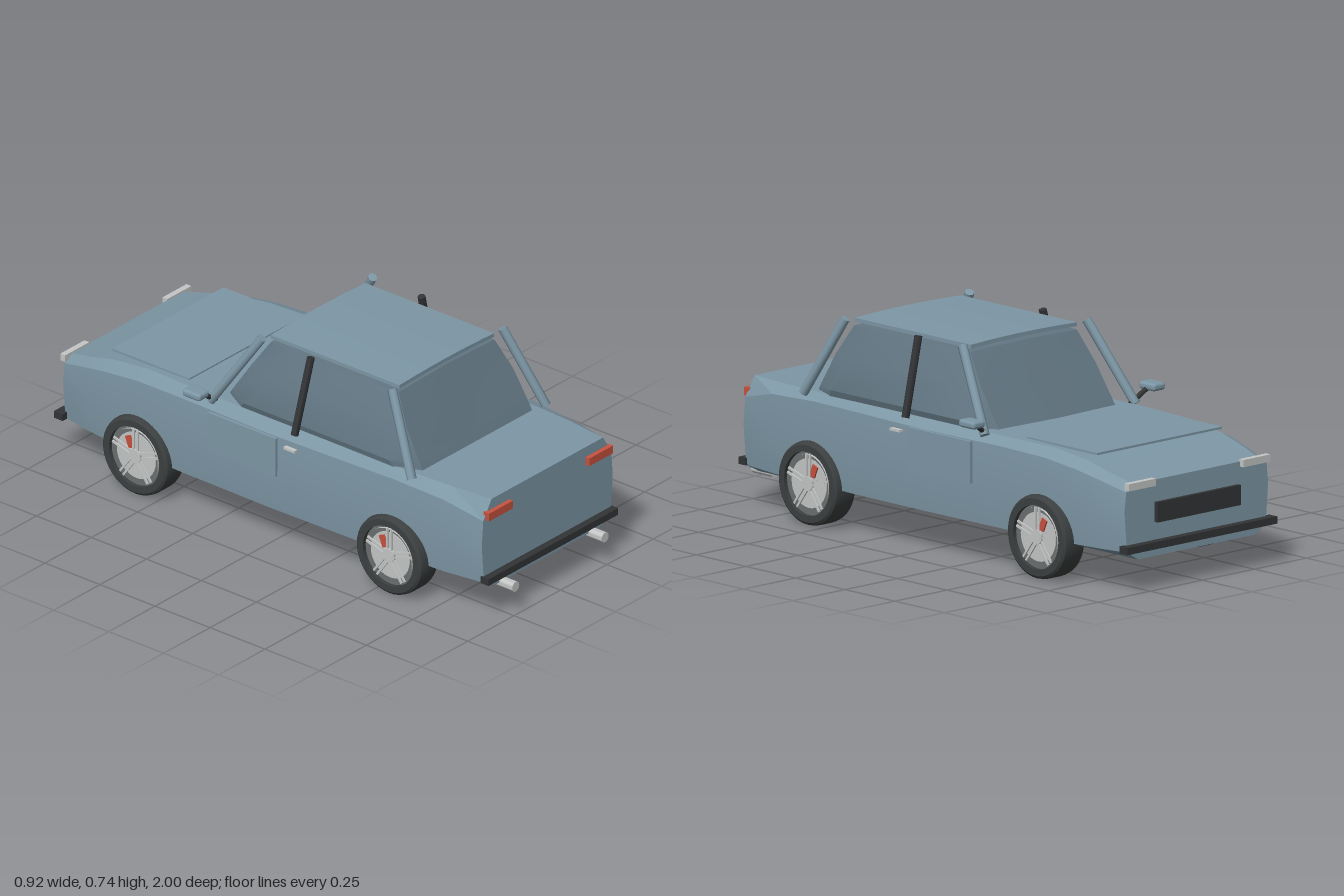
import * as THREE from 'three';
import { toCreasedNormals } from 'three/addons/utils/BufferGeometryUtils.js';
import { RoundedBoxGeometry } from 'three/addons/geometries/RoundedBoxGeometry.js';

const mat = (name, color, side = THREE.FrontSide) => {
  const m = new THREE.MeshStandardMaterial({ color, side });
  m.name = name;
  return m;
};

// Skin closed rings of points and cap both ends
function loft(rings, crease) {
  const n = rings[0].length, idx = [], last = (rings.length - 1) * n;
  for (let i = 0; i < rings.length - 1; i++) {
    for (let j = 0; j < n; j++) {
      const k = (j + 1) % n, a = i * n + j, b = i * n + k;
      idx.push(a, b, b + n, a, b + n, a + n);
    }
  }
  for (let j = 1; j < n - 1; j++) {
    idx.push(0, j + 1, j, last, last + j, last + j + 1);
  }
  const g = new THREE.BufferGeometry();
  g.setAttribute('position', new THREE.Float32BufferAttribute(rings.flat(2), 3));
  g.setIndex(idx);
  return toCreasedNormals(g, crease);
}

export function createModel() {
  const paint = mat('body paint', 0x7d97a5);
  const glass = mat('tinted glass', 0x627682);
  const black = mat('black trim', 0x323436);
  const rubber = mat('tyre rubber', 0x3c4040);
  const metal = mat('light metal', 0xc4c6c6);
  const dark = mat('rim shadow', 0x6b6f70);
  const red = mat('red lamp', 0xc8523f);

  const car = new THREE.Group();
  car.name = 'car';

  const add = (name, geo, material, x = 0, y = 0, z = 0, parent = car) => {
    const m = new THREE.Mesh(geo, material);
    m.name = name;
    m.position.set(x, y, z);
    parent.add(m);
    return m;
  };
  const box = (name, w, h, d, material, x, y, z) =>
    add(name, new THREE.BoxGeometry(w, h, d), material, x, y, z);
  const rod = (name, a, b, r, material, sides = 8) => {
    const p = new THREE.Vector3(...a), q = new THREE.Vector3(...b);
    const dir = q.clone().sub(p);
    const geo = toCreasedNormals(new THREE.CylinderGeometry(r, r, dir.length(), sides), 0.9);
    const m = add(name, geo, material);
    m.position.copy(p.add(q).multiplyScalar(0.5));
    m.quaternion.setFromUnitVectors(new THREE.Vector3(0, 1, 0), dir.normalize());
    return m;
  };

  // Body: cross-sections from nose to tail [z, half width, top y, top half width, shoulder y]
  const stations = [
    [-0.97, 0.345, 0.385, 0.3, 0.36], [-0.86, 0.367, 0.412, 0.315, 0.39],
    [-0.76, 0.38, 0.438, 0.32, 0.412], [-0.6, 0.389, 0.458, 0.325, 0.432],
    [-0.4, 0.397, 0.46, 0.335, 0.438], [0, 0.402, 0.46, 0.34, 0.436],
    [0.35, 0.397, 0.46, 0.335, 0.44], [0.56, 0.389, 0.46, 0.33, 0.44],
    [0.78, 0.377, 0.46, 0.318, 0.428], [0.94, 0.353, 0.458, 0.3, 0.388],
  ];
  const sections = stations.map(([z, w, top, tw, sh]) => {
    const half = [[0.28, 0.113], [w - 0.012, 0.145], [w, 0.29], [w - 0.008, sh], [tw, top]];
    const other = half.map(([x, y]) => [-x, y]).reverse();
    return [...half, ...other].map(([x, y]) => [x, y, z]);
  });
  add('body', loft(sections, 0.35), paint);

  // Cabin glass: rings [y, rear z, rear half width, side half width, front half width, front z]
  const levels = [
    [0.455, 0.625, 0.295, 0.335, 0.28, -0.27], [0.482, 0.61, 0.295, 0.344, 0.28, -0.252],
    [0.6, 0.543, 0.288, 0.314, 0.275, -0.172], [0.705, 0.482, 0.258, 0.264, 0.256, -0.1],
  ];
  const rings = levels.map(([y, zr, rw, sw, fw, zf], i) => {
    const rise = i === 3 ? 0.008 : 0;
    const half = [[rw, zr], [sw, zr - 0.1], [sw, zf + 0.1], [fw, zf]];
    return [
      [0, y + rise, zr], ...half.map(([x, z]) => [x, y, z]),
      [0, y + rise, zf - 0.012], ...half.reverse().map(([x, z]) => [-x, y, z]),
    ];
  });
  add('cabinGlass', loft(rings, 0.55), glass);

  // Slightly crowned roof panel
  const roof = new THREE.BoxGeometry(0.51, 0.014, 0.585, 8, 1, 1);
  const rp = roof.attributes.position;
  for (let i = 0; i < rp.count; i++) {
    rp.setY(i, rp.getY(i) + 0.006 * (1 - (rp.getX(i) / 0.255) ** 2));
  }
  add('roof', toCreasedNormals(roof, 0.5), paint, 0, 0.724, 0.19);

  // Hood panel, bumpers and grille
  box('hoodPanel', 0.6, 0.008, 0.35, paint, 0, 0.461, -0.61);
  box('rearBumper', 0.7, 0.026, 0.035, black, 0, 0.158, 0.95);
  box('frontBumper', 0.72, 0.026, 0.04, black, 0, 0.158, -0.98);
  box('grille', 0.4, 0.072, 0.02, black, 0, 0.27, -0.975);

  // Wheel profiles, spun about the axle
  const lathe = (pts, seg = 40) => toCreasedNormals(
    new THREE.LatheGeometry(pts.map((p) => new THREE.Vector2(...p)), seg).rotateZ(-Math.PI / 2), 0.6);
  const tyreGeo = lathe([[0.114, -0.05], [0.138, -0.05], [0.147, -0.043], [0.15, -0.03],
    [0.15, 0.03], [0.147, 0.043], [0.138, 0.05], [0.114, 0.05], [0.114, -0.05]]);
  const rimGeo = lathe([[0.104, 0.036], [0.104, 0.046], [0.115, 0.048], [0.115, 0.036]]);
  const disc = (r, h) => toCreasedNormals(new THREE.CylinderGeometry(r, r, h, 32).rotateZ(Math.PI / 2), 0.6);
  const barrelGeo = disc(0.114, 0.084), brakeGeo = disc(0.088, 0.004), hubGeo = disc(0.026, 0.012);

  for (const s of [1, -1]) {
    const side = s > 0 ? 'left' : 'right';

    for (const [end, z] of [['Rear', 0.562], ['Front', -0.592]]) {
      const wheel = new THREE.Group();
      wheel.name = `${side}${end}Wheel`;
      wheel.position.set(s * 0.361, 0.15, z);
      car.add(wheel);
      const spin = new THREE.Group();
      spin.name = 'wheelAssembly';
      spin.rotation.y = s > 0 ? 0 : Math.PI;
      wheel.add(spin);
      add('tyre', tyreGeo, rubber, 0, 0, 0, spin);
      add('barrel', barrelGeo, dark, -0.007, 0, 0, spin);
      add('rim', rimGeo, metal, 0, 0, 0, spin);
      add('brakeDisc', brakeGeo, metal, 0.036, 0, 0, spin);
      add('hub', hubGeo, metal, 0.042, 0, 0, spin);
      // Five paired spokes
      for (let i = 0; i < 5; i++) {
        for (const o of [-0.009, 0.009]) {
          const geo = new THREE.BoxGeometry(0.006, 0.09, 0.008).translate(0.042, 0.062, o);
          add('spoke', geo, metal, 0, 0, 0, spin).rotation.x = (i * Math.PI * 2) / 5;
        }
      }
      const caliper = add('caliper', new THREE.BoxGeometry(0.008, 0.045, 0.025), red, s * 0.04, 0.047, -0.027, wheel);
      caliper.rotation.x = -0.4;
    }

    // Roof pillars
    rod(`${side}RearPillar`, [s * 0.362, 0.455, 0.63], [s * 0.298, 0.735, 0.485], 0.017, paint);
    rod(`${side}FrontPillar`, [s * 0.362, 0.455, -0.285], [s * 0.298, 0.735, -0.105], 0.017, paint);
    rod(`${side}MiddlePillar`, [s * 0.372, 0.455, 0.105], [s * 0.298, 0.735, 0.117], 0.014, black);

    // Door panel and handle
    box(`${side}DoorPanel`, 0.012, 0.15, 0.31, paint, s * 0.404, 0.361, -0.105);
    box(`${side}DoorHandle`, 0.016, 0.009, 0.05, metal, s * 0.407, 0.416, 0.115);

    // Door mirror
    rod(`${side}MirrorStem`, [s * 0.345, 0.455, -0.275], [s * 0.415, 0.505, -0.29], 0.009, black);
    add(`${side}Mirror`, new RoundedBoxGeometry(0.058, 0.028, 0.08, 3, 0.011), paint, s * 0.433, 0.51, -0.293);

    // Lamps and exhaust
    box(`${side}TailLamp`, 0.128, 0.03, 0.025, red, s * 0.27, 0.404, 0.945);
    box(`${side}HeadLamp`, 0.13, 0.026, 0.022, metal, s * 0.275, 0.38, -0.976);
    rod(`${side}Exhaust`, [s * 0.241, 0.11, 0.9], [s * 0.241, 0.11, 1], 0.019, metal, 20);
  }
  return car;
}
